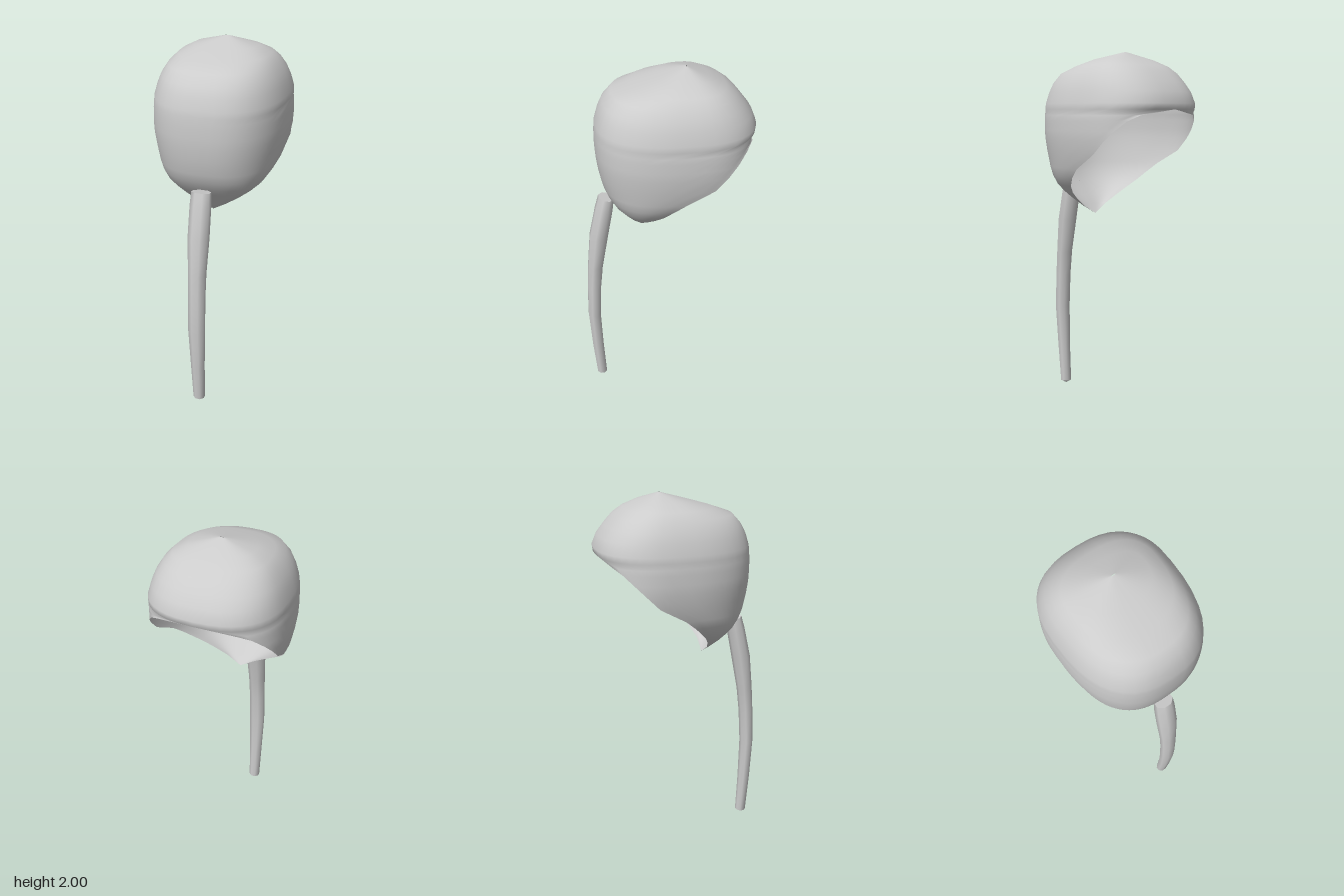
import * as THREE from 'three';
import { mergeVertices } from 'three/addons/utils/BufferGeometryUtils.js';

// Join rings of equal point count into a surface.
function loft(rings) {
  const n = rings[0].length, index = [];
  for (let j = 0; j < rings.length - 1; j++) {
    for (let i = 0; i < n - 1; i++) {
      const a = j * n + i, b = a + n;
      index.push(a, b, a + 1, b, b + 1, a + 1);
    }
  }
  const geo = new THREE.BufferGeometry();
  geo.setAttribute('position', new THREE.Float32BufferAttribute(rings.flat(2), 3));
  geo.setIndex(index);
  const merged = mergeVertices(geo, 1e-4);
  merged.computeVertexNormals();
  return merged;
}

// Hood cross-sections: y, half width, front z, back z, z of the open rim (where cut)
const HOOD = [
  [2.0, 0.012, -0.108, -0.112], [1.96, 0.17, 0.04, -0.22], [1.925, 0.24, 0.165, -0.3],
  [1.89, 0.277, 0.27, -0.35], [1.84, 0.31, 0.315, -0.395], [1.79, 0.33, 0.34, -0.435],
  [1.73, 0.347, 0.358, -0.46], [1.7, 0.35, 0.362, -0.455, -0.455],
  [1.67, 0.352, 0.364, -0.45, -0.41], [1.64, 0.353, 0.365, -0.45, -0.37],
  [1.59, 0.354, 0.365, -0.45, -0.32], [1.54, 0.352, 0.362, -0.45, -0.27],
  [1.47, 0.342, 0.353, -0.45, -0.2], [1.39, 0.32, 0.335, -0.45, -0.06],
  [1.34, 0.295, 0.315, -0.45, 0.0], [1.29, 0.26, 0.285, -0.45, 0.05],
  [1.25, 0.215, 0.25, -0.45, 0.085], [1.21, 0.16, 0.217, -0.45, 0.11],
  [1.16, 0.085, 0.165, -0.45, 0.133], [1.11, 0, 0.13, -0.45, 0.13],
];

function hoodRing([y, w, front, back, rim]) {
  const e = 0.8, steps = 40, ring = [];
  const mid = Math.max(-0.11, rim ?? -1);
  // Sweep round from the front until the rim is met
  const q = rim === undefined ? 1 : Math.min(1, (mid - rim) / (mid - back));
  const end = Math.PI / 2 + Math.asin(Math.pow(q, 1 / e));
  const soft = (v) => Math.sign(v) * Math.pow(Math.abs(v), e);
  for (let i = 0; i <= steps; i++) {
    const t = end * (2 * i / steps - 1);
    const c = soft(Math.cos(t));
    ring.push([w * soft(Math.sin(t)), y, mid + c * (c > 0 ? front - mid : mid - back)]);
  }
  return ring;
}

// Stem sections: y, centre z, radius in x, radius in z, tilt of the section
const STEM = [
  [1.293, 0.32, 0.05, 0.041, 0.2], [1.22, 0.336, 0.054, 0.046, 0.2], [1.05, 0.372, 0.055, 0.049, 0.15],
  [0.85, 0.401, 0.047, 0.041, 0.1], [0.7, 0.415, 0.045, 0.038, 0.05], [0.5, 0.425, 0.045, 0.036, 0],
  [0.25, 0.416, 0.037, 0.033, 0], [0.02, 0.402, 0.032, 0.029, 0],
];

function stemRing([y, z, rx, rz, tilt]) {
  const ring = [];
  for (let i = 0; i <= 8; i++) {
    const t = (i / 8) * Math.PI * 2 + Math.PI / 8;
    const dz = rz * Math.cos(t) * 1.06;
    ring.push([rx * Math.sin(t) * 1.06, y + dz * tilt, z + dz]);
  }
  return ring;
}

export function createModel() {
  const group = new THREE.Group();
  const grey = new THREE.MeshStandardMaterial({ color: 0xcccccc, side: THREE.DoubleSide });
  grey.name = 'lightGrey';
  const add = (name, geo) => {
    const mesh = new THREE.Mesh(geo, grey);
    mesh.name = name;
    group.add(mesh);
  };

  // Open hooded shell
  add('hood', loft(HOOD.map(hoodRing)));

  // Curved tapering stem with separate end caps
  const rings = STEM.map(stemRing);
  const point = (y, z) => rings[0].map(() => [0, y, z]);
  add('stem', loft(rings));
  add('stemTop', loft([point(1.293, 0.32), rings[0]]));
  add('stemTip', loft([rings[rings.length - 1], point(0, 0.402)]));
  return group;
}
